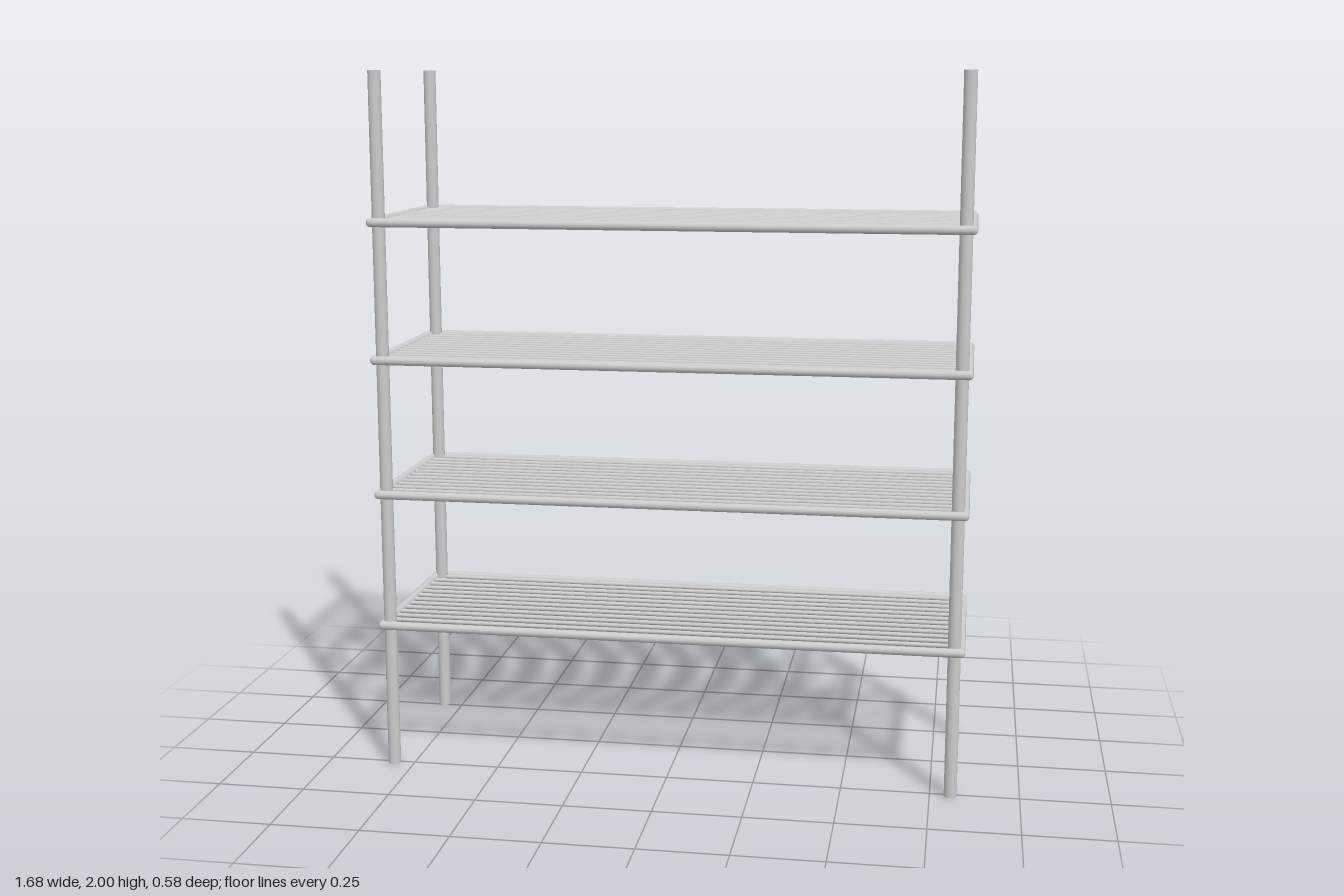
import * as THREE from 'three';

const X = 0.826, Z = 0.277; // shelf frame centre lines
const RAIL_R = 0.0125, WIRE_R = 0.0065, POST_R = 0.018;

export function createModel() {
  const root = new THREE.Group();
  root.name = 'wireShelfRack';
  const material = new THREE.MeshStandardMaterial({ color: 0xcccccc });

  const add = (parent, name, geometry, x, y, z) => {
    const mesh = new THREE.Mesh(geometry, material);
    mesh.name = name;
    mesh.position.set(x, y, z);
    parent.add(mesh);
  };

  // Four full-height posts
  const postGeo = new THREE.CylinderGeometry(POST_R, POST_R, 2, 20);
  for (const [sx, side] of [[1, 'Left'], [-1, 'Right']])
    for (const [sz, end] of [[1, 'front'], [-1, 'back']])
      add(root, `${end}${side}Post`, postGeo, sx * 0.808, 1, sz * 0.26);

  // Shared shelf parts
  const longRail = new THREE.CylinderGeometry(RAIL_R, RAIL_R, 2 * X, 16, 1, true).rotateZ(Math.PI / 2);
  const endRail = new THREE.CylinderGeometry(RAIL_R, RAIL_R, 2 * Z, 16, 1, true).rotateX(Math.PI / 2);
  const corner = new THREE.SphereGeometry(RAIL_R, 16, 12);
  const wire = new THREE.CylinderGeometry(WIRE_R, WIRE_R, 2 * X, 10).rotateZ(Math.PI / 2);

  // Four shelves: rounded tube frame filled with lengthwise wires
  for (let i = 0; i < 4; i++) {
    const shelf = new THREE.Group();
    shelf.name = `shelf${i + 1}`;
    shelf.position.y = 0.423 + i * 0.387;
    for (const s of [1, -1]) {
      add(shelf, s > 0 ? 'frontRail' : 'backRail', longRail, 0, 0, s * Z);
      add(shelf, s > 0 ? 'leftRail' : 'rightRail', endRail, s * X, 0, 0);
      for (const t of [1, -1]) add(shelf, 'frameCorner', corner, s * X, 0, t * Z);
    }
    for (let w = -6; w <= 6; w++) add(shelf, 'shelfWire', wire, 0, 0, w * 0.0428);
    root.add(shelf);
  }
  return root;
}
